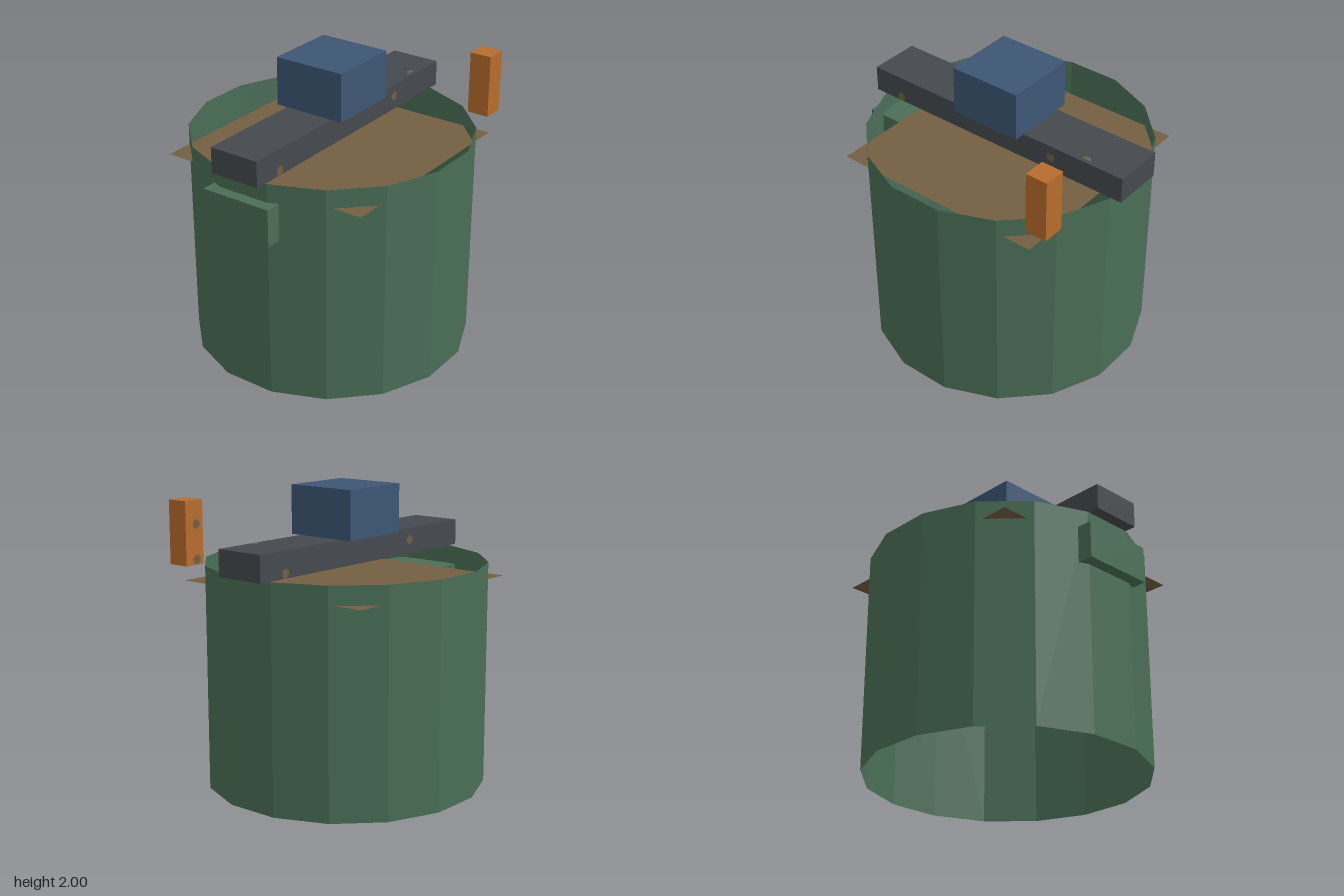
import * as THREE from 'three';

const material = (name, color, extra = {}) => {
  const m = new THREE.MeshStandardMaterial({ color, flatShading: true, ...extra });
  m.name = name;
  return m;
};

export function createModel() {
  const green = material('green', 0x4a6e57, { side: THREE.DoubleSide });
  const brown = material('brown', 0x735e42, { side: THREE.DoubleSide });
  const grey = material('dark grey', 0x45494d);
  const blue = material('blue', 0x3d5675);
  const orange = material('orange', 0xb76c2d);

  const group = new THREE.Group();
  group.name = 'vat';

  const add = (name, geometry, mat, x, y, z) => {
    const mesh = new THREE.Mesh(geometry, mat);
    mesh.name = name;
    mesh.position.set(x, y, z);
    group.add(mesh);
    return mesh;
  };
  // Box given by its lower and upper bounds
  const box = (name, mat, [x0, y0, z0], [x1, y1, z1]) =>
    add(name, new THREE.BoxGeometry(x1 - x0, y1 - y0, z1 - z0), mat,
      (x0 + x1) / 2, (y0 + y1) / 2, (z0 + z1) / 2);

  // Open sixteen-sided wall, with a flat facing the front
  add('tankWall',
    new THREE.CylinderGeometry(0.94, 0.94, 1.5, 16, 1, true, Math.PI / 16),
    green, 0, 0.75, 0);

  // Square content sheet whose corners reach through the wall
  add('contentSurface', new THREE.PlaneGeometry(1.5, 1.5), brown, 0, 1.375, 0)
    .rotation.x = -Math.PI / 2;

  box('sideBracket', green, [-1, 1.125, -0.25], [-0.75, 1.375, 0.25]);
  box('crossBeam', grey, [-1, 1.5, -0.175], [1, 1.675, 0.175]);
  box('motorBlock', blue, [-0.25, 1.675, -0.25], [0.25, 2, 0.25]);
  box('leverPost', orange, [0.72, 1.5, 0.6], [0.87, 1.92, 0.75]);

  // Small eight-sided spots on the beam and the post
  const spot = new THREE.CircleGeometry(0.032, 8, Math.PI / 8);
  for (const s of [1, -1]) {
    for (const [x, y] of [[-0.78, 1.532], [0.465, 1.595]]) {
      add('beamSpot', spot, brown, s * x, y, s * 0.178).rotation.y = s > 0 ? 0 : Math.PI;
    }
  }
  for (const y of [1.535, 1.765]) {
    add('postSpot', spot, brown, 0.78, y, 0.597).rotation.y = Math.PI;
  }
  // Half spot at the beam's upper front edge
  add('beamTopSpot', new THREE.CircleGeometry(0.032, 6, 0, Math.PI), brown, 0.715, 1.678, 0.15)
    .rotation.x = -Math.PI / 2;

  return group;
}
